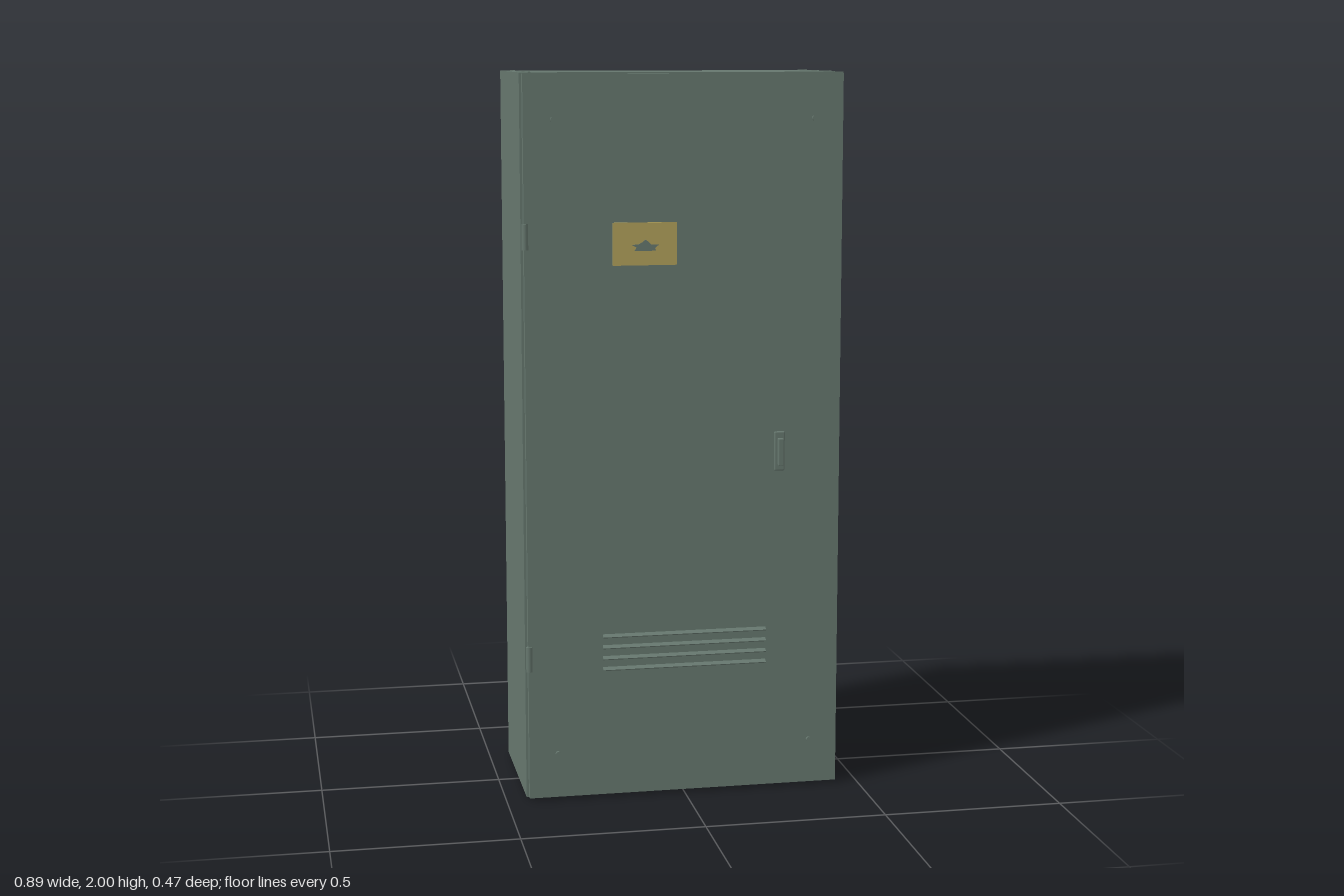
import * as THREE from 'three';
import { RoundedBoxGeometry } from 'three/addons/geometries/RoundedBoxGeometry.js';

export function createModel() {
  const group = new THREE.Group();
  const paint = new THREE.MeshStandardMaterial({ name: 'greyGreenPaint', color: 0x66776e });
  const brass = new THREE.MeshStandardMaterial({ name: 'yellowPlate', color: 0xb0a05a });

  const add = (name, geometry, x, y, z, material = paint) => {
    const mesh = new THREE.Mesh(geometry, material);
    mesh.name = name;
    mesh.position.set(x, y, z);
    group.add(mesh);
    return mesh;
  };
  // box given by its limits on each axis
  const box = (name, x0, x1, y0, y1, z0, z1, material) =>
    add(name, new THREE.BoxGeometry(x1 - x0, y1 - y0, z1 - z0),
      (x0 + x1) / 2, (y0 + y1) / 2, (z0 + z1) / 2, material);

  // cabinet shell on a slightly inset base
  box('cabinetBody', -0.443, 0.443, 0.005, 1.998, -0.235, 0.181);
  box('base', -0.425, 0.425, 0, 0.006, -0.217, 0.165);

  // door, with a narrow shadow gap behind it
  box('doorSeal', -0.43, 0.43, 0.015, 1.988, 0.18, 0.185);
  box('door', -0.437, 0.437, 0.008, 1.995, 0.184, 0.205);

  // roof ribs
  for (const s of [-1, 1]) {
    box('roofRib', s * 0.415 - 0.003, s * 0.415 + 0.003, 1.996, 2, -0.21, 0.18);
  }

  // hinges on the right edge of the door
  for (const y of [0.405, 1.565]) {
    add('hinge', new THREE.CylinderGeometry(0.009, 0.009, 0.07, 16), -0.434, y, 0.203);
  }

  // door corner screws
  for (const x of [-0.357, 0.357]) {
    for (const y of [0.133, 1.875]) {
      add('screw', new THREE.CylinderGeometry(0.007, 0.007, 0.008, 16), x, y, 0.208)
        .rotation.x = Math.PI / 2;
    }
  }

  // slanted ventilation louvres
  for (let i = 0; i < 4; i++) {
    add('louvre', new THREE.BoxGeometry(0.46, 0.003, 0.016), 0, 0.37 + i * 0.031, 0.209)
      .rotation.x = 0.5;
  }

  // sign plate with a simple raised silhouette
  box('signPlate', -0.198, -0.023, 1.485, 1.6, 0.204, 0.212, brass);
  const outline = new THREE.Shape([
    [-0.03, -0.014], [0.03, -0.014], [0.026, -0.007], [0.037, 0.002], [0.016, 0.003],
    [0.008, 0.011], [0, 0.016], [-0.008, 0.009], [-0.018, 0.004], [-0.037, 0.002], [-0.024, -0.005],
  ].map(([x, y]) => new THREE.Vector2(x, y)));
  add('signSymbol', new THREE.ExtrudeGeometry(outline, { depth: 0.002, bevelEnabled: false }),
    -0.11, 1.538, 0.2115);

  // door handle: back plate, stem and grip
  add('handlePlate', new RoundedBoxGeometry(0.03, 0.11, 0.009, 3, 0.004), 0.265, 0.965, 0.2105);
  box('handleStem', 0.26, 0.27, 0.94, 0.99, 0.212, 0.222);
  add('handleGrip', new RoundedBoxGeometry(0.015, 0.075, 0.016, 3, 0.002), 0.265, 0.965, 0.227);

  return group;
}
